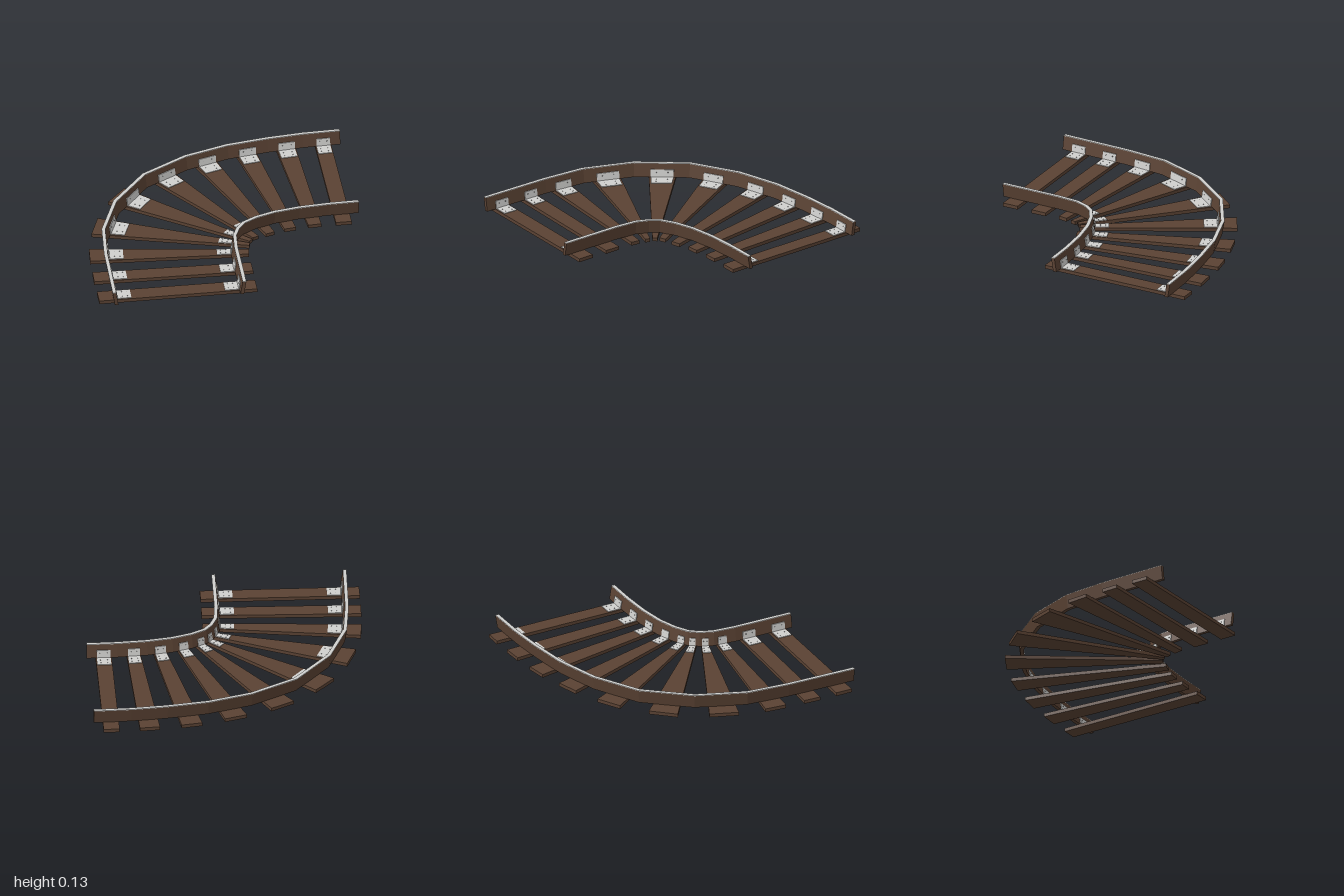
import * as THREE from 'three';

const wood = new THREE.MeshStandardMaterial({ color: 0x5a4233, name: 'brown wood' });
const steel = new THREE.MeshStandardMaterial({ color: 0xd0d0ce, name: 'light steel' });
const boltGrey = new THREE.MeshStandardMaterial({ color: 0x858583, name: 'bolt grey' });

const TIE_TOP = 0.026, RAIL_TOP = 0.126, HALF = 0.013, LEAN = 0.016;

// plan outlines [x, z] of the ties: outer end pair, then inner end pair
const ties = [
  [0.82, -0.99, 0.935, -0.99, 0.82, 0.145, 0.935, 0.145],
  [0.53, -0.975, 0.675, -0.985, 0.62, 0.15, 0.715, 0.145],
  [0.225, -0.935, 0.375, -0.96, 0.445, 0.175, 0.53, 0.165],
  [-0.1, -0.84, 0.06, -0.89, 0.305, 0.22, 0.37, 0.2],
  [-0.445, -0.665, -0.28, -0.76, 0.205, 0.255, 0.25, 0.235],
  [-0.75, -0.36, -0.61, -0.52, 0.175, 0.295, 0.2, 0.27],
  [-0.93, 0.04, -0.855, -0.16, 0.165, 0.35, 0.175, 0.315],
  [-0.99, 0.39, -0.975, 0.23, 0.145, 0.46, 0.155, 0.395],
  [-1, 0.66, -0.995, 0.535, 0.145, 0.685, 0.145, 0.57],
  [-1, 0.915, -1, 0.79, 0.14, 0.92, 0.14, 0.8],
];

// centre lines of the rail tops; side is the direction each rail leans
const rails = [
  { name: 'outerRail', side: 1, path: [[1, -0.893], [0.73, -0.886], [0.47, -0.862], [0.176, -0.816], [-0.14, -0.716],
    [-0.468, -0.524], [-0.722, -0.208], [-0.858, 0.145], [-0.888, 0.465], [-0.901, 0.985]] },
  { name: 'innerRail', side: -1, path: [[1, 0.045], [0.785, 0.048], [0.567, 0.064], [0.385, 0.096], [0.246, 0.144],
    [0.144, 0.203], [0.096, 0.267], [0.059, 0.358], [0.045, 0.52], [0.04, 0.97]] },
];

// closed solid through four-cornered rings, turned so that faces point outward
function loft(rings) {
  const tris = [], n = rings.length;
  const quad = (a, b, c, d) => tris.push([a, b, c], [a, c, d]);
  for (let i = 0; i < n - 1; i++) {
    for (let j = 0; j < 4; j++) {
      const k = (j + 1) % 4;
      quad(rings[i][j], rings[i][k], rings[i + 1][k], rings[i + 1][j]);
    }
  }
  quad(...[...rings[0]].reverse());
  quad(...rings[n - 1]);
  let volume = 0;
  for (const [a, b, c] of tris) volume += a.dot(b.clone().cross(c));
  const points = tris.flatMap(([a, b, c]) => (volume < 0 ? [a, c, b] : [a, b, c]));
  const geo = new THREE.BufferGeometry().setFromPoints(points);
  geo.computeVertexNormals();
  return geo;
}

function addMesh(parent, name, geo, material) {
  const mesh = new THREE.Mesh(geo, material);
  mesh.name = name;
  parent.add(mesh);
  return mesh;
}

// mitred parallel of a plan path
function offsetPath(path, d) {
  const normal = (p, q) => new THREE.Vector2(p[1] - q[1], q[0] - p[0]).normalize();
  return path.map((p, i) => {
    const a = normal(path[Math.max(i - 1, 0)], path[Math.max(i, 1)]);
    const b = i < path.length - 1 ? normal(p, path[i + 1]) : a;
    const m = a.clone().add(b).normalize();
    m.multiplyScalar(d / m.dot(b));
    return [p[0] + m.x, p[1] + m.y];
  });
}

// fraction along the line p-q at which it crosses a path
function crossing(p, q, path) {
  const rx = q[0] - p[0], rz = q[1] - p[1];
  for (let i = 0; i < path.length - 1; i++) {
    const [ax, az] = path[i];
    const sx = path[i + 1][0] - ax, sz = path[i + 1][1] - az;
    const den = rx * sz - rz * sx;
    const t = ((ax - p[0]) * sz - (az - p[1]) * sx) / den;
    const u = ((ax - p[0]) * rz - (az - p[1]) * rx) / den;
    if (u >= 0 && u <= 1 && t >= 0 && t <= 1) return t;
  }
  return 0.5;
}

const leanAt = (y) => -LEAN * (RAIL_TOP - y) / (RAIL_TOP - TIE_TOP);

// leaning bar following a rail path between two heights
function railBar(rail, y0, y1) {
  const l0 = leanAt(y0), l1 = leanAt(Math.min(y1, RAIL_TOP));
  const profile = [[l0 - HALF, y0], [l0 + HALF, y0], [l1 + HALF, y1], [l1 - HALF, y1]];
  const lines = profile.map(([u]) => offsetPath(rail.path, u * rail.side));
  return loft(rail.path.map((_, i) =>
    profile.map(([, y], j) => new THREE.Vector3(lines[j][i][0], y, lines[j][i][1]))));
}

export function createModel() {
  const group = new THREE.Group();
  group.name = 'curvedTrack';
  const boltGeo = new THREE.SphereGeometry(0.0035, 6, 4);

  for (const rail of rails) {
    addMesh(group, rail.name, railBar(rail, TIE_TOP, RAIL_TOP), wood);
    addMesh(group, rail.name + 'Cap', railBar(rail, RAIL_TOP, RAIL_TOP + 0.005), steel);
  }

  for (const c of ties) {
    const edges = [[[c[0], c[1]], [c[4], c[5]]], [[c[2], c[3]], [c[6], c[7]]]];
    // point on the tie: w across it, t along it (one t per edge)
    const at = (w, ts, y) => {
      const [a, b] = edges.map(([p, q], k) =>
        new THREE.Vector3(p[0] + (q[0] - p[0]) * ts[k], y, p[1] + (q[1] - p[1]) * ts[k]));
      return a.lerp(b, w);
    };
    const ring = (t0, t1, y, inset) => [at(inset, t0, y), at(1 - inset, t0, y), at(1 - inset, t1, y), at(inset, t1, y)];
    addMesh(group, 'tie', loft([ring([0, 0], [1, 1], 0, 0), ring([0, 0], [1, 1], TIE_TOP, 0)]), wood);

    // angle bracket on the track side of each rail
    for (const rail of rails) {
      const s = rail.side;
      const face = (y) => {
        const line = offsetPath(rail.path, (leanAt(y) - HALF) * s);
        return edges.map(([p, q]) => crossing(p, q, line));
      };
      const shift = (ts, d) => ts.map((t) => t + s * d);
      const low = face(TIE_TOP), plateY = TIE_TOP + 0.005, highY = 0.085, high = face(highY);
      const bracket = new THREE.Group();
      bracket.name = 'bracket';
      group.add(bracket);
      const end = shift(low, 0.09);
      addMesh(bracket, 'basePlate', loft([ring(low, end, TIE_TOP, 0.07), ring(low, end, plateY, 0.07)]), steel);
      addMesh(bracket, 'uprightPlate', loft([
        ring(low, shift(low, 0.005), TIE_TOP, 0.07), ring(high, shift(high, 0.005), highY, 0.07)]), steel);
      // bolts on both legs
      for (const w of [0.28, 0.72]) {
        for (const d of [0.035, 0.068]) {
          addMesh(bracket, 'bolt', boltGeo, boltGrey).position.copy(at(w, shift(low, d), plateY));
        }
        addMesh(bracket, 'bolt', boltGeo, boltGrey).position.copy(at(w, shift(face(0.065), 0.005), 0.065));
      }
    }
  }
  return group;
}
